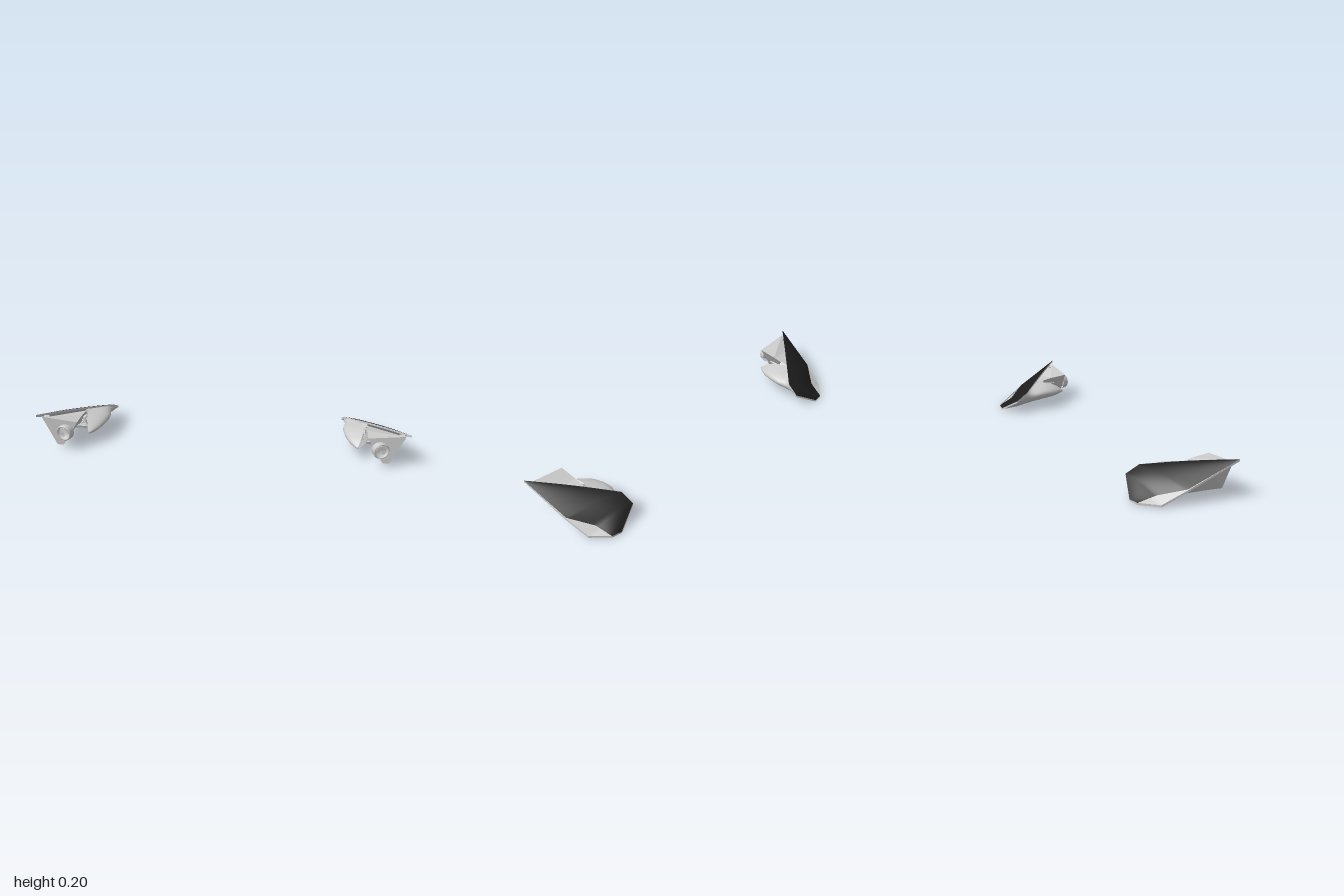
import * as THREE from 'three';

const V = (p) => new THREE.Vector3(...p);

// Sheet through rows of points, all rows the same length; closed joins the row ends
function sheet(rows, closed = false) {
  const n = rows[0].length, pos = [], index = [];
  rows.forEach((row) => row.forEach((p) => pos.push(p.x, p.y, p.z)));
  for (let i = 0; i < rows.length - 1; i++) {
    for (let j = 0; j < (closed ? n : n - 1); j++) {
      const a = i * n + j, b = i * n + (j + 1) % n, c = a + n, d = b + n;
      index.push(a, b, c, b, d, c);
    }
  }
  const g = new THREE.BufferGeometry();
  g.setAttribute('position', new THREE.Float32BufferAttribute(pos, 3));
  g.setIndex(index);
  g.computeVertexNormals();
  return g;
}

// Even points along a polyline, k per segment
function rail(points, k = 8) {
  const out = [];
  for (let i = 0; i < points.length - 1; i++) {
    for (let j = 0; j < k; j++) out.push(V(points[i]).lerp(V(points[i + 1]), j / k));
  }
  out.push(V(points.at(-1)));
  return out;
}

// Rows spanning two rails, bulged upward in the middle and lifted along the first stretch
function span(inner, outer, bulge, drop = 0, cols = 10) {
  return inner.map((p, i) => Array.from({ length: cols + 1 }, (_, j) => {
    const v = j / cols, q = p.clone().lerp(outer[i], v);
    const t = i / (inner.length - 1);
    const lift = 0.006 * Math.sin(Math.PI * Math.min(1, t * 3)) * (1 - v);
    q.y += bulge * 4 * v * (1 - v) * Math.sin(Math.PI * t) + lift - drop;
    return q;
  }));
}

// Closed ring sections, with both ends drawn to their middle
function closedLoft(sections) {
  const rings = sections.map((s) => s.map(V));
  const cap = (r) => {
    const c = r.reduce((a, p) => a.add(p), new THREE.Vector3()).divideScalar(r.length);
    return r.map(() => c.clone());
  };
  return sheet([cap(rings[0]), ...rings, cap(rings.at(-1))], true);
}

// Mirror in x, turning the faces back outward
function mirrored(geometry) {
  const g = geometry.clone().scale(-1, 1, 1);
  const a = g.index.array;
  for (let i = 0; i < a.length; i += 3) [a[i], a[i + 1]] = [a[i + 1], a[i]];
  return g;
}

function lampParts() {
  const grey = new THREE.MeshStandardMaterial({ color: 0xcccccc, side: THREE.DoubleSide });
  const facet = grey.clone();
  facet.flatShading = true;
  const dark = new THREE.MeshStandardMaterial({ color: 0x1c1c1c, side: THREE.DoubleSide });
  const parts = [];
  const add = (name, geometry, material) => parts.push({ name, geometry, material });

  // Lens outline corners
  const tip = [1, 0.202, 0.222], tail = [0.775, 0.008, -0.239];
  const heel = [0.83, 0.01, -0.23];
  const inner = rail([tip, [0.66, 0.122, -0.118], [0.648, 0.082, -0.187], tail]);
  const lensOuter = rail([tip, [0.95, 0.083, -0.03], [0.857, 0.04, -0.14], heel]);
  const frameOuter = rail([tip, [0.953, 0.08, -0.03], [0.915, 0.014, -0.15], heel]);

  // Dark swept lens
  add('lens', sheet(span(inner, lensOuter, 0.016)), dark);

  // Backing frame with a flange past the outer edge of the lens, and its rim
  add('lensFrame', sheet(span(inner, frameOuter, 0, 0.006)), grey);
  const outline = [...inner, ...[...frameOuter].reverse()];
  const rim = [0.001, -0.01].map((dy) => outline.map((p, i) => {
    const q = p.clone();
    if (i < 9) q.y += 0.006 * Math.sin(Math.PI * i / 8);
    q.y = Math.max(0, q.y + dy);
    return q;
  }));
  add('frameRim', sheet(rim, true), facet);

  // V-shaped housing behind the lens
  add('housing', closedLoft([
    [[0.78, 0.163, 0.205], [0.975, 0.185, 0.205], [0.9, 0.021, 0.205], [0.865, 0.021, 0.205]],
    [[0.78, 0.155, 0.1], [0.965, 0.135, 0.1], [0.893, 0.028, 0.09], [0.86, 0.028, 0.09]],
    [[0.78, 0.14, 0.01], [0.943, 0.085, 0], [0.89, 0.033, 0], [0.85, 0.033, 0]],
    [[0.72, 0.1, -0.1], [0.89, 0.025, -0.11], [0.87, 0.018, -0.1], [0.83, 0.018, -0.1]],
  ]), facet);

  // Round bulb cover, turned slightly outward, with a half-round reflector inside
  const profile = [[0, 0.004], [0.034, 0.004], [0.036, 0.026], [0.041, 0.026], [0.044, 0.02], [0.044, -0.012]]
    .map((p) => new THREE.Vector2(...p));
  const place = (g) => g.rotateX(Math.PI / 2).rotateY(0.3).translate(0.847, 0.102, 0.204);
  add('bulbCover', place(new THREE.LatheGeometry(profile, 28)), grey);
  add('bulbReflector', place(new THREE.CylinderGeometry(0.026, 0.026, 0.016, 16, 1, false, Math.PI / 2, Math.PI)
    .translate(0, 0.008, 0)), facet);

  // Rounded inner shell running back to a point: top, side and bottom of each section
  const shellRows = [
    [-0.187, [0.66, 0.078], [0.64, 0.07], [0.7, 0.045]],
    [-0.118, [0.665, 0.115], [0.645, 0.07], [0.76, 0.017]],
    [-0.03, [0.748, 0.137], [0.545, 0.105], [0.785, 0.019]],
    [0.05, [0.762, 0.138], [0.57, 0.1], [0.765, 0.035]],
    [0.11, [0.752, 0.118], [0.635, 0.09], [0.745, 0.05]],
    [0.16, [0.735, 0.085], [0.72, 0.08], [0.735, 0.07]],
  ].map(([z, a, b, c]) => new THREE.QuadraticBezierCurve3(
    V([...a, z]), V([...b, z]), V([...c, z])).getPoints(12));
  // Smooth each line of points along the length
  const lines = shellRows[0].map((_, j) =>
    new THREE.CatmullRomCurve3(shellRows.map((r) => r[j])).getPoints(24));
  add('innerShell', sheet(lines), grey);

  // Bridge from the inner shell to the housing, ahead of the notch
  add('bridge', sheet([
    [[0.735, 0.133, -0.04], [0.748, 0.137, -0.02], [0.762, 0.138, 0.045]],
    [[0.77, 0.142, -0.02], [0.782, 0.146, 0], [0.782, 0.15, 0.045]],
  ].map((r) => r.map(V))), facet);

  // Ribs and struts between the shell and the housing
  for (let i = 0; i < 4; i++) {
    const rib = new THREE.BoxGeometry(0.085, 0.006, 0.06);
    rib.rotateZ(-0.25).translate(0.765 + i * 0.01, 0.102 - i * 0.022, -0.02 - i * 0.01);
    add('rib', rib, facet);
  }
  for (let i = 0; i < 3; i++) {
    const strut = new THREE.BoxGeometry(0.006, 0.062, 0.05);
    strut.rotateZ(-0.35).translate(0.735 + i * 0.03, 0.072 - i * 0.005, -0.025);
    add('strut', strut, facet);
  }

  // Small mounting prong in the notch
  const prong = new THREE.CylinderGeometry(0.003, 0.008, 0.08, 4, 1);
  add('mountingProng', prong.rotateX(Math.PI / 2).translate(0.77, 0.125, 0.08), facet);

  // Shallow pan closing the underside from the notch to the tail
  add('underPan', closedLoft([
    [[0.785, 0.035, 0], [0.87, 0.035, 0], [0.86, 0.02, -0.005], [0.79, 0.02, -0.005]],
    [[0.76, 0.025, -0.14], [0.9, 0.01, -0.14], [0.9, 0.006, -0.145], [0.77, 0.008, -0.14]],
    [[0.765, 0.006, -0.225], [0.83, 0.004, -0.225], [0.83, 0.002, -0.225], [0.775, 0.002, -0.225]],
  ]), facet);
  // Inner side of the pan, from its edge up to the lens edge
  add('underPanSide', sheet([
    [[0.66, 0.11, -0.118], [0.65, 0.073, -0.187], [0.772, 0.002, -0.236]],
    [[0.762, 0.014, -0.118], [0.765, 0.01, -0.18], [0.775, 0.002, -0.225]],
  ].map((r) => r.map(V))), facet);

  // Mounting tab near the lens tip
  const tab = new THREE.BoxGeometry(0.03, 0.012, 0.03);
  add('mountingTab', tab.rotateX(0.3).translate(0.955, 0.17, 0.185), facet);
  return parts;
}

export function createModel() {
  const model = new THREE.Group();
  const left = new THREE.Group(), right = new THREE.Group();
  left.name = 'leftHeadlight';
  right.name = 'rightHeadlight';
  for (const { name, geometry, material } of lampParts()) {
    [[left, geometry], [right, mirrored(geometry)]].forEach(([group, g]) => {
      const mesh = new THREE.Mesh(g, material);
      mesh.name = name;
      group.add(mesh);
    });
  }
  model.add(left, right);
  return model;
}
